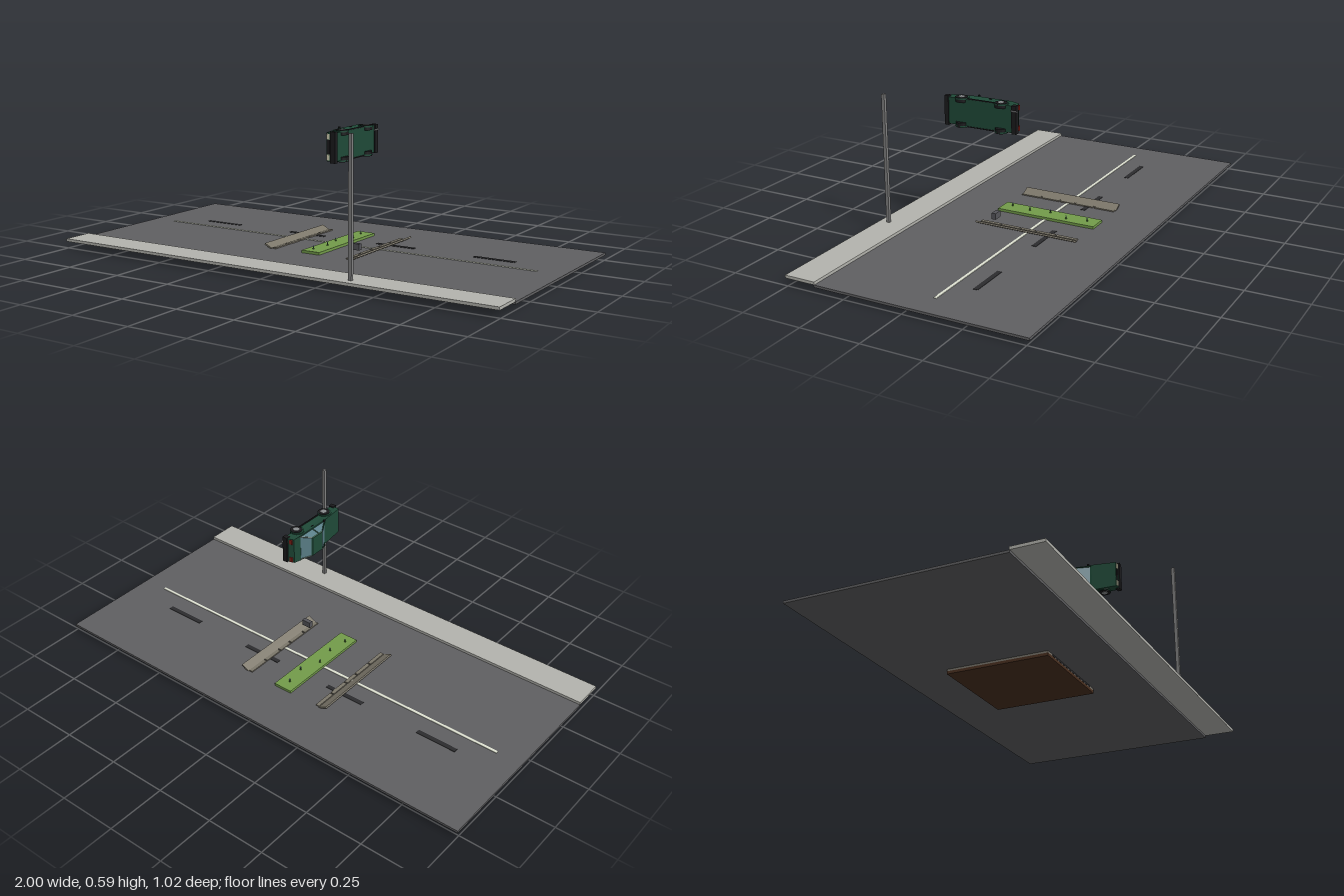
import * as THREE from 'three';

const mat = (color) => new THREE.MeshStandardMaterial({ color, flatShading: true });
const M = {
  road: mat(0x606062), walk: mat(0xb4b4ae), pole: mat(0x808080), dash: mat(0x2c2c2e),
  line: mat(0xdfe2d2), soil: mat(0x4a3020), gravel: mat(0x77736a), slab: mat(0x7c776a),
  grass: mat(0x739c4a), sprout: mat(0x3f6a2c), flower: mat(0x6c8cc0), box: mat(0x55555a),
  body: mat(0x1f4a38), black: mat(0x1b1b1d), glass: mat(0x5b7f88), hub: mat(0x8a8d8f),
  lamp: mat(0xd8d6b8), tail: mat(0x8c2018),
};

function add(parent, name, geo, material, x = 0, y = 0, z = 0) {
  const mesh = new THREE.Mesh(geo, material);
  mesh.name = name;
  mesh.position.set(x, y, z);
  parent.add(mesh);
  return mesh;
}

// Box given by its min and max corners
function span(parent, name, material, x0, x1, y0, y1, z0, z1) {
  return add(parent, name, new THREE.BoxGeometry(x1 - x0, y1 - y0, z1 - z0), material,
    (x0 + x1) / 2, (y0 + y1) / 2, (z0 + z1) / 2);
}

// Extrudes a (z, y) side profile across x, centred
function sideExtrude(points, width) {
  const shape = new THREE.Shape(points.map(([z, y]) => new THREE.Vector2(z, y)));
  const geo = new THREE.ExtrudeGeometry(shape, { depth: width, bevelEnabled: false });
  geo.translate(0, 0, -width / 2);
  geo.rotateY(-Math.PI / 2);
  return geo;
}

// Car built upright, nose towards +z, wheels at the bottom
function createCar() {
  const car = new THREE.Group();
  car.name = 'car';
  const profile = [[-0.155, 0.018], [0.15, 0.014], [0.157, 0.03], [0.154, 0.054], [0.05, 0.066],
    [-0.115, 0.067], [-0.15, 0.062], [-0.157, 0.04]];
  const bodyGeo = sideExtrude(profile, 0.118);
  // Narrow the nose and tail a little
  const p = bodyGeo.attributes.position;
  for (let i = 0; i < p.count; i++) {
    const taper = Math.abs(p.getZ(i)) > 0.14 ? 0.94 : 1;
    p.setX(i, p.getX(i) * taper);
  }
  bodyGeo.computeVertexNormals();
  add(car, 'body', bodyGeo, M.body);

  // Cabin tapering towards the roof
  const cabin = (name, material, y0, y1, w0, w1, a0, a1, b0, b1) => {
    const geo = new THREE.BoxGeometry(1, 1, 1);
    const q = geo.attributes.position;
    for (let i = 0; i < q.count; i++) {
      const top = q.getY(i) > 0;
      const front = q.getZ(i) > 0;
      q.setXYZ(i, Math.sign(q.getX(i)) * (top ? w1 : w0), top ? y1 : y0,
        top ? (front ? b1 : a1) : (front ? b0 : a0));
    }
    geo.computeVertexNormals();
    return add(car, name, geo, material);
  };
  cabin('windows', M.glass, 0.064, 0.096, 0.054, 0.044, -0.118, -0.078, 0.045, -0.008);
  cabin('roof', M.body, 0.095, 0.1, 0.0455, 0.042, -0.08, -0.075, -0.006, -0.012);

  for (const s of [-1, 1]) {
    // Roof pillars
    for (const [z0, z1] of [[-0.117, -0.077], [-0.035, -0.035], [0.045, -0.008]]) {
      const path = new THREE.LineCurve3(new THREE.Vector3(s * 0.054, 0.064, z0),
        new THREE.Vector3(s * 0.0445, 0.097, z1));
      add(car, 'pillar', new THREE.TubeGeometry(path, 1, 0.003, 4), M.body);
    }
    // Wheels, arches and hubs
    for (const z of [-0.09, 0.09]) {
      const arch = new THREE.CylinderGeometry(0.029, 0.029, 0.006, 20).rotateZ(Math.PI / 2);
      add(car, 'wheelArch', arch, M.body, s * 0.057, 0.028, z);
      const tyre = new THREE.CylinderGeometry(0.025, 0.025, 0.02, 20).rotateZ(Math.PI / 2);
      add(car, 'wheel', tyre, M.black, s * 0.052, 0.024, z);
      const hub = new THREE.CylinderGeometry(0.013, 0.013, 0.002, 14).rotateZ(Math.PI / 2);
      add(car, 'hub', hub, M.hub, s * 0.0622, 0.024, z);
    }
    // Lamps, mirrors, handles and sills
    span(car, 'headlight', M.lamp, s * 0.04 - 0.011, s * 0.04 + 0.011, 0.038, 0.05, 0.15, 0.159);
    span(car, 'tailLight', M.tail, s * 0.042 - 0.01, s * 0.042 + 0.01, 0.043, 0.056, -0.158, -0.148);
    span(car, 'mirror', M.black, s * 0.06 - 0.004, s * 0.06 + 0.004, 0.066, 0.073, 0.032, 0.04);
    span(car, 'handle', M.black, s * 0.059 - 0.001, s * 0.059 + 0.001, 0.053, 0.056, -0.03, -0.018);
    span(car, 'sill', M.black, s * 0.058 - 0.002, s * 0.058 + 0.002, 0.015, 0.02, -0.06, 0.06);
  }
  span(car, 'grille', M.black, -0.027, 0.027, 0.037, 0.05, 0.15, 0.158);
  span(car, 'frontBumper', M.black, -0.061, 0.061, 0.01, 0.032, 0.145, 0.163);
  span(car, 'rearBumper', M.black, -0.058, 0.058, 0.012, 0.034, -0.163, -0.142);
  const pipe = new THREE.CylinderGeometry(0.003, 0.003, 0.03, 8).rotateX(Math.PI / 2);
  add(car, 'exhaustPipe', pipe, M.hub, 0.036, 0.012, -0.155);
  return car;
}

// Sloping border slab and low kerb stones on one side (s = 1 or -1)
function createBorder(s) {
  const border = new THREE.Group();
  border.name = 'border';
  const [z0, z1] = [-0.287, 0.155];
  const slab = add(border, 'tiltedSlab', new THREE.BoxGeometry(0.04, 0.007, z1 - z0), M.slab,
    s * 0.206, 0.037, (z0 + z1) / 2);
  slab.rotation.z = s * 0.48;
  const joints = [z0, -0.19, -0.1, -0.03, 0.06, z1];
  for (let i = 0; i < joints.length - 1; i++) {
    span(border, 'kerbStone', M.slab, s * 0.178 - 0.008, s * 0.178 + 0.008, 0.028, 0.035,
      joints[i] + 0.003, joints[i + 1] - 0.003);
  }
  return border;
}

export function createModel() {
  const model = new THREE.Group();
  model.name = 'streetScene';

  // Ground
  span(model, 'road', M.road, -1, 1, 0.02, 0.03, -0.51, 0.38);
  span(model, 'sidewalk', M.walk, -1, 1, 0.03, 0.042, 0.378, 0.51);
  span(model, 'soil', M.soil, -0.222, 0.222, 0, 0.012, -0.287, 0.155);
  span(model, 'gravel', M.gravel, -0.222, 0.222, 0.012, 0.021, -0.287, 0.155);
  span(model, 'trenchLiner', M.dash, -0.18, 0.18, 0.013, 0.02, -0.288, 0.156);

  // Road markings
  span(model, 'roadLine', M.line, -0.89, 0.89, 0.03, 0.032, -0.076, -0.064);
  for (const x of [-0.67, -0.22, 0.22, 0.67]) {
    span(model, 'darkDash', M.dash, x - 0.09, x + 0.09, 0.03, 0.0315, -0.17, -0.15);
  }

  // Planted strip with sprouts and small flowers
  span(model, 'grassStrip', M.grass, -0.042, 0.042, 0.022, 0.041, -0.29, 0.152);
  [0, 0.016, -0.016, 0, -0.012].forEach((x, i) => {
    const z = -0.243 + i * 0.0885;
    add(model, 'sprout', new THREE.ConeGeometry(0.004, 0.014, 6), M.sprout, x, 0.048, z);
    add(model, 'flower', new THREE.IcosahedronGeometry(0.003, 0), M.flower, x, 0.053, z);
  });

  model.add(createBorder(-1), createBorder(1));

  // Pole and floating box
  span(model, 'pole', M.pole, 0.379, 0.393, 0.04, 0.585, 0.463, 0.477);
  span(model, 'smallBox', M.box, 0.155, 0.196, 0.057, 0.083, 0.077, 0.095);

  // Car hanging on its side, roof towards -x
  const car = createCar();
  car.rotation.z = Math.PI / 2;
  car.position.set(0.22, 0.497, 0.136);
  model.add(car);
  return model;
}
